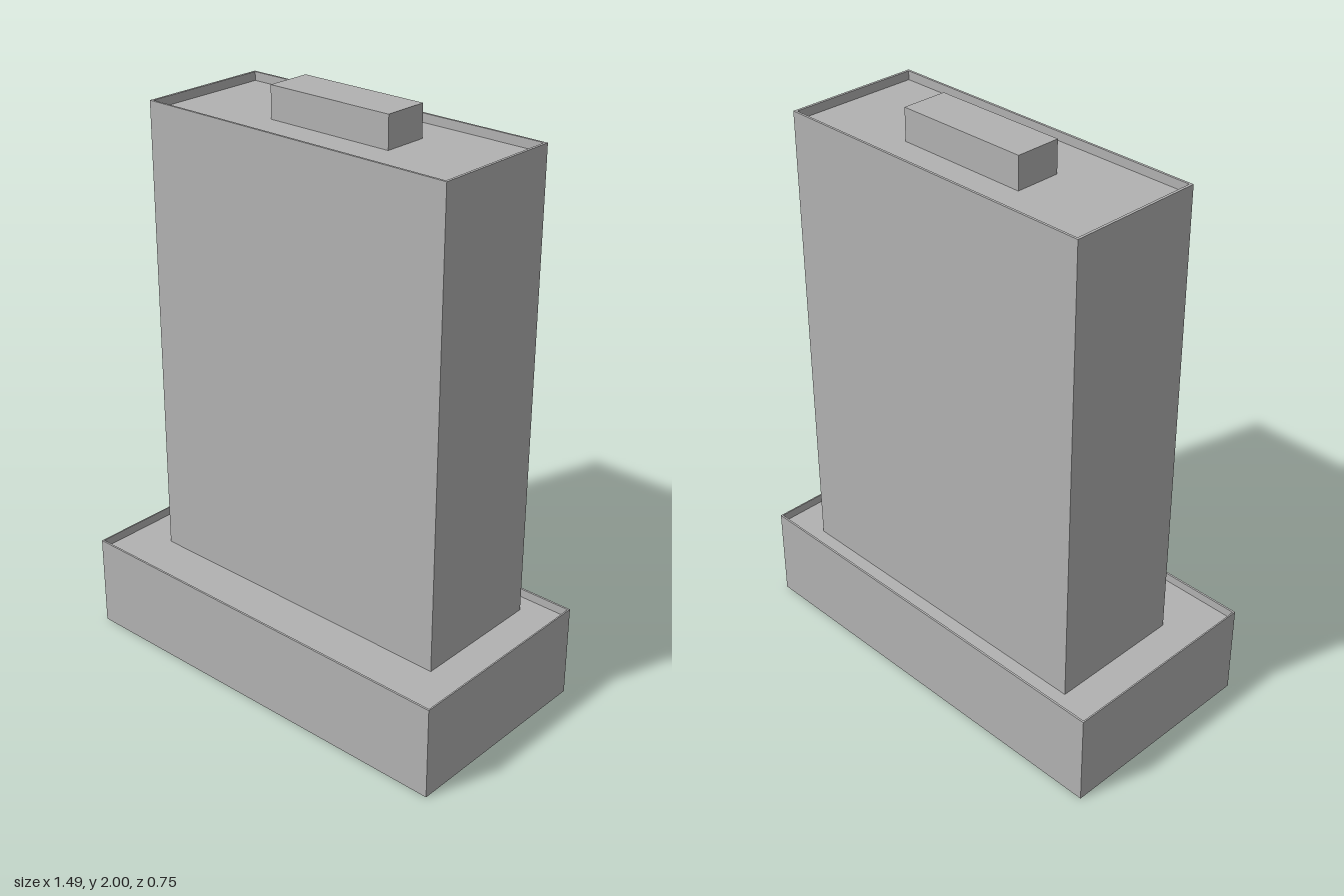
import * as THREE from 'three';

// Rectangle outline centred on (cx, cy)
function rect(PathType, w, d, cx = 0, cy = 0) {
  const p = new PathType();
  p.moveTo(cx - w / 2, cy - d / 2);
  p.lineTo(cx + w / 2, cy - d / 2);
  p.lineTo(cx + w / 2, cy + d / 2);
  p.lineTo(cx - w / 2, cy + d / 2);
  p.closePath();
  return p;
}

// Solid block with a thin parapet standing around its flat roof
function parapetBlock(name, { w, d, z, bottom, roof, top, rimX, rimZ }, material) {
  const group = new THREE.Group();
  group.name = name;
  group.position.z = z;

  const walls = rect(THREE.Shape, w, d);
  walls.holes.push(rect(THREE.Path, w - 2 * rimX, d - 2 * rimZ));
  const shell = new THREE.Mesh(
    new THREE.ExtrudeGeometry(walls, { depth: top - bottom, bevelEnabled: false }).rotateX(-Math.PI / 2),
    material
  );
  shell.name = name + 'Walls';
  shell.position.y = bottom;

  const core = new THREE.Mesh(
    new THREE.BoxGeometry(w - 2 * rimX, roof - bottom, d - 2 * rimZ),
    material
  );
  core.name = name + 'Roof';
  core.position.y = (roof + bottom) / 2;

  group.add(shell, core);
  return group;
}

export function createModel() {
  const concrete = new THREE.MeshStandardMaterial({ color: 0xb2b2b2 });
  concrete.name = 'concrete grey';

  const model = new THREE.Group();
  model.name = 'officeTower';

  // Wide podium and the slab tower set back on it
  model.add(
    parapetBlock('podium', { w: 1.49, d: 0.745, z: 0, bottom: 0, roof: 0.3, top: 0.33, rimX: 0.005, rimZ: 0.007 }, concrete),
    parapetBlock('tower', { w: 1.194, d: 0.476, z: -0.06, bottom: 0.3, roof: 1.89, top: 1.92, rimX: 0.009, rimZ: 0.008 }, concrete)
  );

  // Plant room on the tower roof
  const plantRoom = new THREE.Mesh(new THREE.BoxGeometry(0.476, 0.11, 0.159), concrete);
  plantRoom.name = 'plantRoom';
  plantRoom.position.set(0, 1.945, -0.08);
  model.add(plantRoom);

  return model;
}
